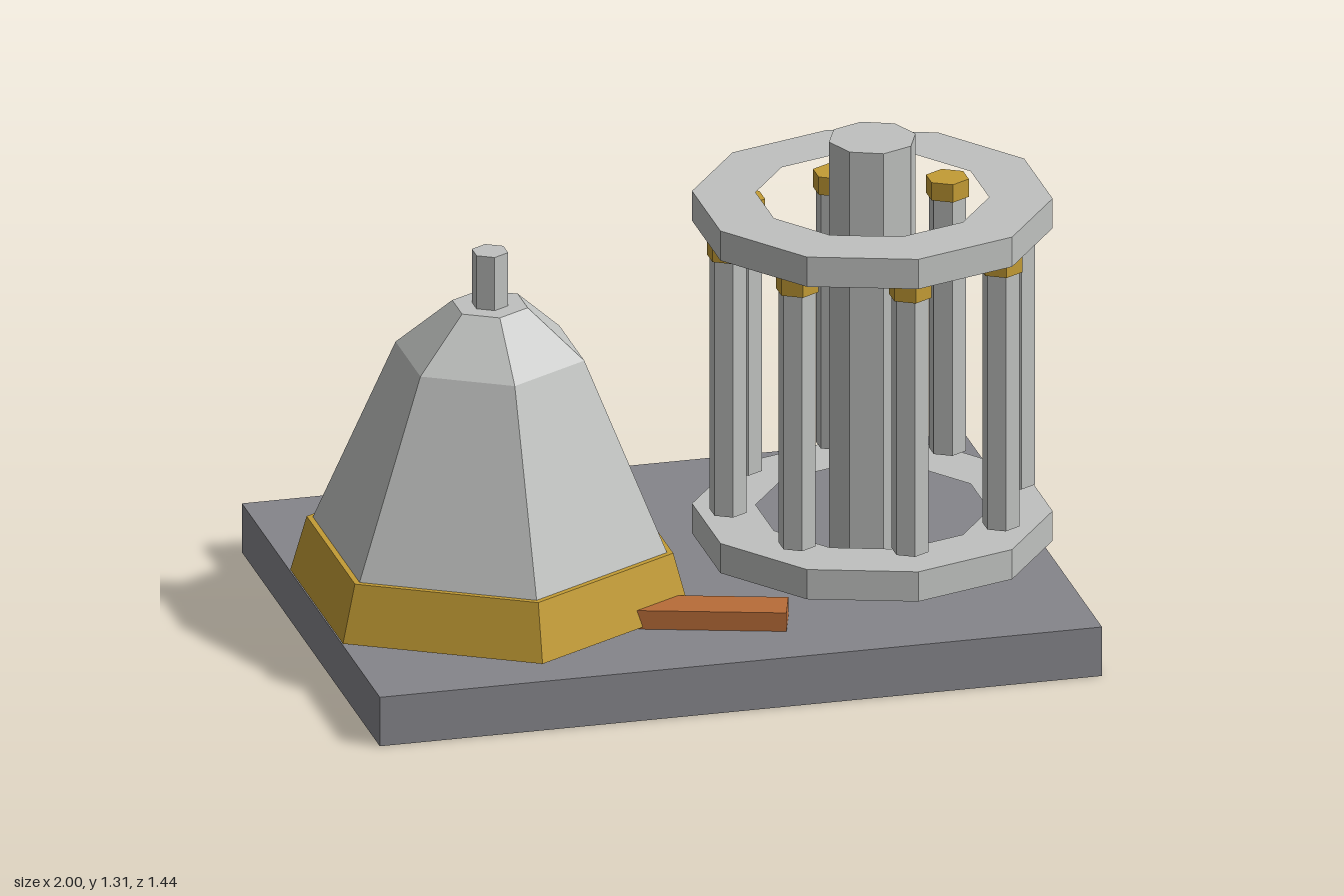
import * as THREE from 'three';

function material(name, color) {
  const m = new THREE.MeshStandardMaterial({ color, flatShading: true });
  m.name = name;
  return m;
}

export function createModel() {
  const slate = material('slate', 0x85858a);
  const stone = material('paleStone', 0xbfc1bf);
  const gold = material('gold', 0xc39c35);
  const copper = material('copper', 0xb86c38);

  const add = (parent, name, geometry, mat, x = 0, y = 0, z = 0) => {
    const mesh = new THREE.Mesh(geometry, mat);
    mesh.name = name;
    mesh.position.set(x, y, z);
    parent.add(mesh);
    return mesh;
  };
  // Upright prism or frustum between two heights
  const prism = (parent, name, mat, sides, rTop, rBottom, y0, y1, x = 0, z = 0) =>
    add(parent, name, new THREE.CylinderGeometry(rTop, rBottom, y1 - y0, sides), mat, x, (y0 + y1) / 2, z);

  const polygon = (Type, radius, sides) => {
    const pts = [];
    for (let i = 0; i < sides; i++) {
      const a = (i / sides) * Math.PI * 2;
      pts.push(new THREE.Vector2(Math.sin(a) * radius, Math.cos(a) * radius));
    }
    return new Type(pts);
  };

  const model = new THREE.Group();
  model.name = 'model';

  // Base slab
  add(model, 'base', new THREE.BoxGeometry(1.985, 0.14, 1.44), slate, -0.0075, 0.07, 0);

  // Six-sided bell with a gold skirt and a short stem
  const bell = new THREE.Group();
  bell.name = 'bell';
  bell.position.set(-0.525, 0, 0.065);
  model.add(bell);
  prism(bell, 'bellSkirt', gold, 6, 0.505, 0.55, 0.147, 0.305);
  const profile = [[0.49, 0.3], [0.26, 0.83], [0.104, 0.965], [0, 0.965]]
    .map(([r, y]) => new THREE.Vector2(r, y));
  add(bell, 'bellBody', new THREE.LatheGeometry(profile, 6), stone);
  prism(bell, 'bellStem', stone, 6, 0.05, 0.05, 0.96, 1.117);

  // Copper plank tucked under the bell skirt
  const plank = add(model, 'plank', new THREE.BoxGeometry(0.5, 0.053, 0.114), copper, -0.057, 0.1675, 0.412);
  plank.rotation.y = -0.3;

  // Cage of rods between two ten-sided rings
  const cage = new THREE.Group();
  cage.name = 'cage';
  cage.position.x = 0.543;
  model.add(cage);
  prism(cage, 'centralShaft', stone, 8, 0.119, 0.119, 0.14, 1.307);

  const ringShape = polygon(THREE.Shape, 0.48, 10);
  ringShape.holes.push(polygon(THREE.Path, 0.311, 10));
  const ringGeometry = new THREE.ExtrudeGeometry(ringShape, { depth: 0.085, bevelEnabled: false });
  ringGeometry.rotateX(-Math.PI / 2);
  add(cage, 'lowerRing', ringGeometry, stone, 0, 0.165, 0);
  add(cage, 'upperRing', ringGeometry, stone, 0, 1.059, 0);

  for (let i = 0; i < 8; i++) {
    const a = (i / 8) * Math.PI * 2;
    const x = Math.sin(a) * 0.396, z = Math.cos(a) * 0.396;
    prism(cage, 'rod', stone, 6, 0.051, 0.051, 0.28, 1.01, x, z);
    prism(cage, 'rodCap', gold, 6, 0.059, 0.059, 1.008, 1.059, x, z);
  }

  return model;
}
